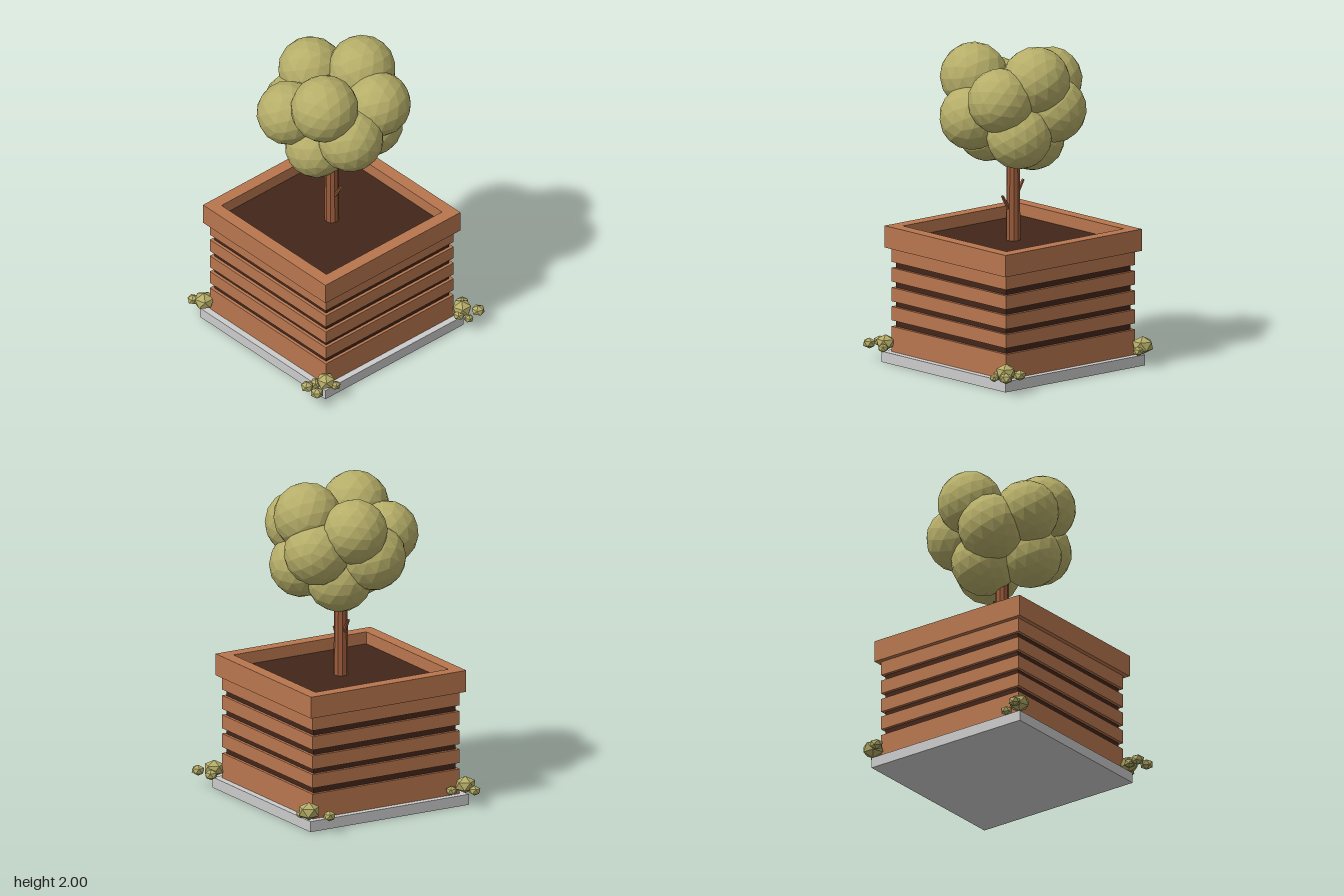
import * as THREE from 'three';

const paint = (color) => new THREE.MeshStandardMaterial({ color, flatShading: true });

export function createModel() {
  const model = new THREE.Group();
  const stone = paint(0xcccccc);
  const wood = paint(0xb8764e);
  const soil = paint(0x42261a);
  const bark = paint(0x9c5c3c);
  const leaf = paint(0xb5ad68);

  const add = (name, geometry, material, x, y, z, parent = model) => {
    const mesh = new THREE.Mesh(geometry, material);
    mesh.name = name;
    mesh.position.set(x, y, z);
    parent.add(mesh);
    return mesh;
  };

  // Square block between two heights
  const cz = -0.012;
  const block = (name, size, y0, y1, material) =>
    add(name, new THREE.BoxGeometry(size, y1 - y0, size), material, 0.002, (y0 + y1) / 2, cz);

  // Planter: slab, dark soil core and the wooden slats around it
  block('baseSlab', 1.127, 0, 0.066, stone);
  block('soilCore', 1.006, 0.066, 0.77, soil);
  [[0.066, 0.222], [0.26, 0.345], [0.378, 0.463], [0.5, 0.585], [0.622, 0.71]]
    .forEach(([y0, y1]) => block('slat', 1.044, y0, y1, wood));

  // Rim: square frame with an open middle
  const square = (Type, h) => new Type([[-h, -h], [h, -h], [h, h], [-h, h]].map(([x, y]) => new THREE.Vector2(x, y)));
  const frame = square(THREE.Shape, 0.551);
  frame.holes.push(square(THREE.Path, 0.472));
  const rimGeometry = new THREE.ExtrudeGeometry(frame, { depth: 0.135, bevelEnabled: false });
  rimGeometry.rotateX(-Math.PI / 2);
  add('rim', rimGeometry, wood, 0.002, 0.71, cz);

  // Trunk with two short twigs
  add('trunk', new THREE.CylinderGeometry(0.038, 0.045, 0.75, 10), bark, 0.002, 1.14, cz);
  for (const [x, y, side] of [[-0.05, 1.08, -1], [0.055, 1.0, 1]]) {
    const twig = add('twig', new THREE.CylinderGeometry(0.009, 0.013, 0.12, 5), bark, x, y, -0.008);
    twig.rotation.z = -side * 0.56;
  }

  // Crown of overlapping faceted balls: x, y, z, radius
  const crown = new THREE.Group();
  crown.name = 'crown';
  model.add(crown);
  const ball = new THREE.IcosahedronGeometry(1, 2);
  [
    [0.02, 1.795, -0.24, 0.207], [0.15, 1.775, 0.18, 0.207],
    [-0.245, 1.735, -0.065, 0.2], [-0.095, 1.645, 0.25, 0.197],
    [0.245, 1.69, -0.17, 0.2], [-0.11, 1.6, -0.25, 0.203],
    [0.26, 1.555, 0.07, 0.202], [-0.22, 1.55, 0.075, 0.205],
    [0.055, 1.43, 0.16, 0.192], [0.13, 1.46, -0.21, 0.2],
    [-0.09, 1.4, -0.08, 0.2], [0, 1.62, 0, 0.2],
  ].forEach(([x, y, z, r], i) => {
    const clump = add('leafClump', ball, leaf, x, y, z, crown);
    clump.scale.setScalar(r);
    clump.rotation.set(i * 0.7, i * 1.3, 0);
  });

  // Small squashed shrubs at the corners of the slab: x, z, radius
  const shrubGeometry = new THREE.IcosahedronGeometry(1, 0);
  shrubGeometry.rotateZ(Math.atan(2 / (1 + Math.sqrt(5))));
  const shrubs = {
    backRightShrubs: [[-0.545, -0.575, 0.07], [-0.632, -0.485, 0.042], [-0.49, -0.595, 0.036]],
    backLeftShrubs: [[0.557, -0.57, 0.065], [0.622, -0.645, 0.043], [0.497, -0.628, 0.042], [0.637, -0.555, 0.031], [0.575, -0.53, 0.038]],
    frontRightShrubs: [[-0.545, 0.535, 0.067], [-0.62, 0.555, 0.039], [-0.545, 0.437, 0.037]],
    frontLeftShrubs: [[0.55, 0.535, 0.062], [0.5, 0.64, 0.042], [0.588, 0.64, 0.042], [0.6, 0.5, 0.034], [0.505, 0.575, 0.037]],
  };
  for (const [name, list] of Object.entries(shrubs)) {
    const group = new THREE.Group();
    group.name = name;
    model.add(group);
    list.forEach(([x, z, r], i) => {
      const shrub = add('shrub', shrubGeometry, leaf, x, 0.072 + r * 0.8, z, group);
      shrub.scale.set(r, r * 0.8, r);
      shrub.rotation.y = i * 0.9;
    });
  }
  return model;
}
